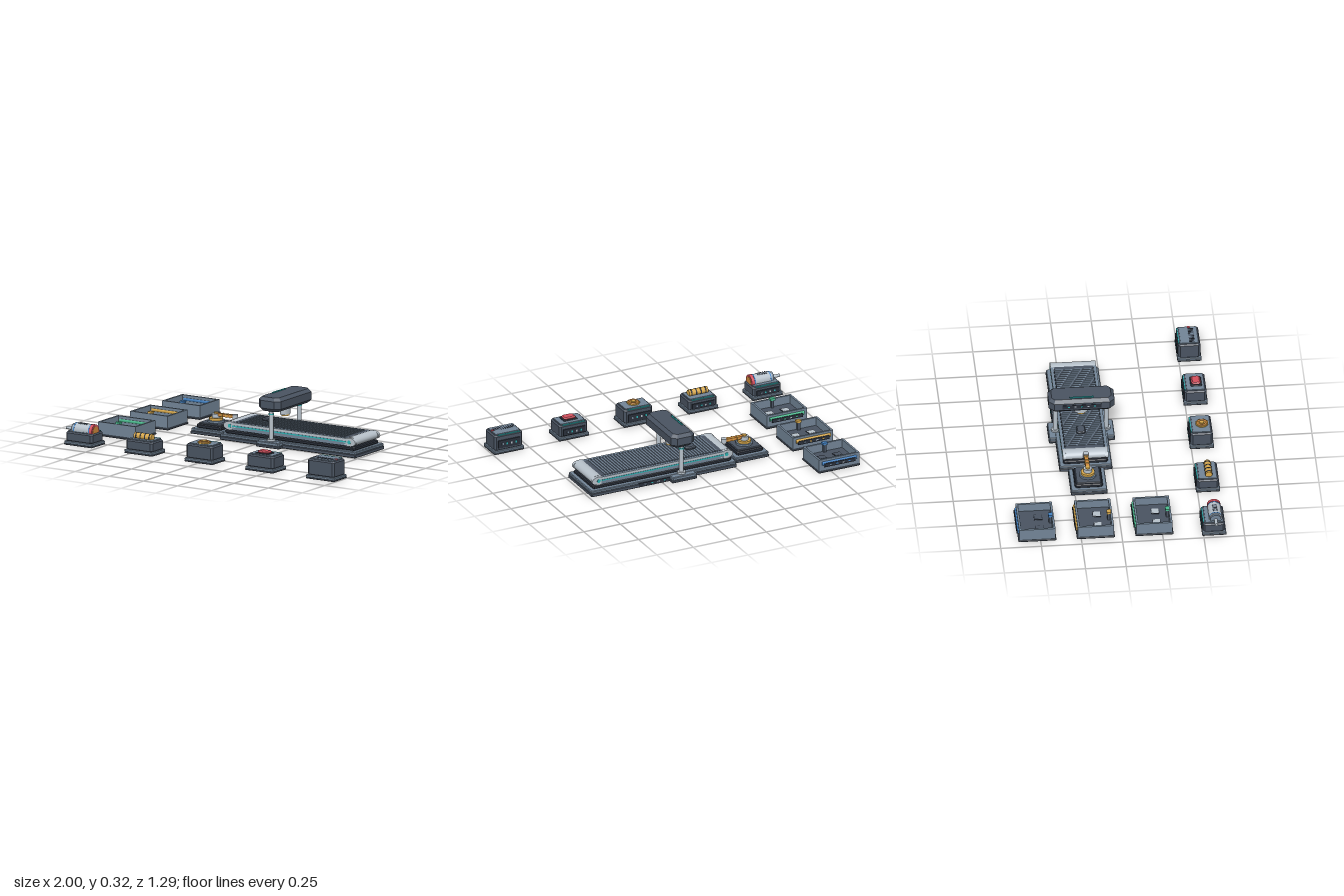
import * as THREE from 'three';

const mat = (name, color) => {
  const m = new THREE.MeshStandardMaterial({ color });
  m.name = name;
  return m;
};

export function createModel() {
  const M = {
    dark: mat('dark base', 0x2a303b),
    char: mat('charcoal', 0x4a5462),
    slate: mat('slate', 0x738597),
    light: mat('light metal', 0xb8c2cb),
    teal: mat('teal', 0x2fb3b5),
    gold: mat('gold', 0xd8a94c),
    orange: mat('orange', 0xd08a3e),
    red: mat('red', 0xd5505e),
    blue: mat('blue', 0x4483c4),
    green: mat('green', 0x4cbd90),
  };
  const root = new THREE.Group();
  root.name = 'sortingLine';

  const group = (name, x, z) => {
    const g = new THREE.Group();
    g.name = name;
    g.position.set(x, 0, z);
    root.add(g);
    return g;
  };
  const add = (g, name, geo, m, x = 0, y = 0, z = 0) => {
    const mesh = new THREE.Mesh(geo, m);
    mesh.name = name;
    mesh.position.set(x, y, z);
    g.add(mesh);
    return mesh;
  };
  // plain box, placed by its centre
  const box = (g, name, m, w, h, d, x, y, z) => add(g, name, new THREE.BoxGeometry(w, h, d), m, x, y, z);
  // box with all edges chamfered by c, standing on y
  const slab = (g, name, m, w, h, d, x, y, z, c = 0.006) => {
    const a = w / 2 - c, b = d / 2 - c, s = new THREE.Shape();
    [[-a + c, -b], [a - c, -b], [a, -b + c], [a, b - c], [a - c, b], [-a + c, b], [-a, b - c], [-a, -b + c]]
      .forEach(([px, py], i) => (i ? s.lineTo(px, py) : s.moveTo(px, py)));
    s.closePath();
    const geo = new THREE.ExtrudeGeometry(s, { depth: h - 2 * c, bevelThickness: c, bevelSize: c, bevelSegments: 1 });
    geo.rotateX(-Math.PI / 2).translate(0, c, 0);
    return add(g, name, geo, m, x, y, z);
  };
  // cylinder along an axis, placed by its centre
  const rod = (g, name, m, r, len, axis, x, y, z, n = 24) => {
    const geo = new THREE.CylinderGeometry(r, r, len, n);
    if (axis === 'x') geo.rotateZ(-Math.PI / 2);
    if (axis === 'z') geo.rotateX(Math.PI / 2);
    return add(g, name, geo, m, x, y, z);
  };
  // dark display with small indicator lights on a rear face
  const backPanel = (g, w, h, x, y, z, accent) => {
    box(g, 'rearPanel', M.dark, w, h, 0.008, x, y, z - 0.003);
    [accent, M.light, accent, M.slate].forEach((m, i) =>
      box(g, 'indicator', m, w * 0.07, h * 0.28, 0.003, x + w * (i - 1.5) * 0.2, y, z - 0.0075));
  };

  // ---- conveyor ----
  const conv = group('conveyor', 0.2375, -0.1625);
  slab(conv, 'conveyorFoot', M.char, 0.995, 0.022, 0.325, 0, 0, 0, 0.003);
  slab(conv, 'conveyorDeck', M.slate, 0.991, 0.018, 0.321, 0, 0.021, 0, 0.004);
  slab(conv, 'conveyorFrame', M.dark, 0.95, 0.024, 0.274, 0, 0.038, 0);
  const endX = 0.437, beltR = 0.026;
  const loop = new THREE.Shape();
  loop.absarc(endX, 0, beltR, -Math.PI / 2, Math.PI / 2);
  loop.absarc(-endX, 0, beltR, Math.PI / 2, Math.PI * 1.5);
  const beltGeo = new THREE.ExtrudeGeometry(loop, { depth: 0.24, bevelEnabled: false, curveSegments: 12 });
  add(conv, 'belt', beltGeo.translate(0, 0, -0.12), M.char, 0, 0.088, 0);
  for (let i = 0; i < 40; i++) {
    box(conv, 'beltSlat', M.slate, 0.009, 0.004, 0.235, -0.38 + i * 0.0195, 0.115, 0);
  }
  for (const s of [-1, 1]) {
    rod(conv, 'endRoller', M.light, 0.029, 0.242, 'z', s * endX, 0.09, 0).scale.x = 1.4;
    box(conv, 'sideRail', M.slate, 0.84, 0.048, 0.018, 0, 0.089, s * 0.131);
    box(conv, 'railFacePlate', M.light, 0.84, 0.014, 0.004, 0, 0.105, s * 0.1395);
    box(conv, 'tealStrip', M.teal, 0.84, 0.008, 0.004, 0, 0.09, s * 0.1395);
    for (const e of [-1, 1]) {
      rod(conv, 'rollerCap', M.light, 0.027, 0.02, 'z', e * endX, 0.09, s * 0.13).scale.x = 1.7;
      rod(conv, 'axle', M.teal, 0.012, 0.024, 'z', e * endX, 0.09, s * 0.13, 16);
    }
  }
  backPanel(conv, 0.22, 0.02, 0.065, 0.02, -0.161, M.teal);
  slab(conv, 'parcelOnBelt', M.char, 0.07, 0.02, 0.055, -0.248, 0.117, -0.01);

  // ---- scanner gantry ----
  const gantry = group('scannerGantry', 0.117, -0.161);
  for (const s of [-1, 1]) {
    slab(gantry, 'gantryFoot', M.char, 0.17, 0.016, 0.085, 0, 0, s * 0.161, 0.003);
    slab(gantry, 'gantryFootPlate', M.slate, 0.166, 0.022, 0.081, 0, 0.015, s * 0.161, 0.004);
    rod(gantry, 'postSocket', M.light, 0.026, 0.014, 'y', 0, 0.042, s * 0.157);
    rod(gantry, 'post', M.light, 0.014, 0.2, 'y', 0, 0.132, s * 0.157);
    rod(gantry, 'postCollar', M.teal, 0.018, 0.008, 'y', 0, 0.205, s * 0.157);
  }
  slab(gantry, 'beam', M.char, 0.16, 0.088, 0.405, 0, 0.226, 0, 0.02);
  box(gantry, 'beamLight', M.teal, 0.008, 0.008, 0.145, -0.047, 0.316, 0);
  box(gantry, 'beamSidePanel', M.dark, 0.004, 0.026, 0.24, -0.08, 0.27, 0);
  for (let i = 0; i < 5; i++) box(gantry, 'beamIndicator', i % 2 ? M.light : M.teal, 0.003, 0.007, 0.014, -0.082, 0.27, -0.08 + i * 0.04);
  rod(gantry, 'scannerHead', M.light, 0.041, 0.05, 'y', 0, 0.203, 0).scale.x = 0.65;
  rod(gantry, 'scannerLens', M.gold, 0.026, 0.01, 'y', 0, 0.174, 0);

  // ---- robot arm ----
  const robot = group('robotArm', -0.39, -0.1625);
  slab(robot, 'robotFoot', M.char, 0.23, 0.018, 0.225, 0, 0, 0, 0.003);
  slab(robot, 'robotDeck', M.slate, 0.226, 0.018, 0.221, 0, 0.017, 0, 0.004);
  slab(robot, 'robotPlinth', M.dark, 0.18, 0.026, 0.172, 0, 0.034, 0, 0.006);
  slab(robot, 'robotTop', M.char, 0.16, 0.01, 0.152, 0, 0.058, 0, 0.004);
  rod(robot, 'turntable', M.slate, 0.052, 0.014, 'y', 0, 0.073, 0);
  rod(robot, 'shoulder', M.gold, 0.042, 0.016, 'y', 0, 0.087, 0);
  rod(robot, 'shoulderCap', M.light, 0.026, 0.025, 'y', 0, 0.107, 0);
  rod(robot, 'shoulderPin', M.gold, 0.014, 0.012, 'y', 0, 0.122, 0);
  box(robot, 'forearm', M.orange, 0.13, 0.018, 0.024, 0.075, 0.115, 0);
  for (let i = 0; i < 3; i++) box(robot, 'forearmRib', M.gold, 0.008, 0.022, 0.028, 0.05 + i * 0.03, 0.115, 0);
  rod(robot, 'wrist', M.light, 0.018, 0.028, 'y', 0.14, 0.115, 0);

  // ---- open sorting bins ----
  [[0.2, M.green, M.light], [-0.16, M.gold, M.light], [-0.52, M.blue, M.char]].forEach(([z, accent, pad]) => {
    const b = group('sortingBin', -0.807, z);
    slab(b, 'binFoot', M.char, 0.286, 0.012, 0.234, 0, 0, 0, 0.003);
    box(b, 'binFloor', M.char, 0.265, 0.024, 0.205, 0, 0.023, 0);
    for (const s of [-1, 1]) {
      box(b, 'binEndWall', M.slate, 0.275, 0.076, 0.013, 0, 0.05, s * 0.105);
      box(b, 'binSideWall', M.slate, 0.013, 0.076, 0.2, s * 0.131, 0.05, 0);
      box(b, 'padEdge', M.dark, 0.052, 0.004, 0.052, s * 0.054, 0.036, 0.02);
      box(b, 'floorPad', pad, 0.044, 0.006, 0.044, s * 0.054, 0.037, 0.02);
    }
    // accent bar above a dark rear display
    rod(b, 'accentBar', accent, 0.013, 0.235, 'x', 0, 0.061, -0.108, 16);
    backPanel(b, 0.21, 0.024, 0, 0.052, -0.118, accent);
    box(b, 'markerPost', M.char, 0.018, 0.06, 0.016, 0, 0.055, 0.09);
    box(b, 'marker', accent, 0.032, 0.014, 0.026, 0, 0.092, 0.091);
  });

  // ---- display pedestals with sample goods ----
  const pedestal = (name, x, h) => {
    const g = group(name, x, 0.565);
    slab(g, 'pedestalFoot', M.char, 0.206, 0.009, 0.148, 0, 0, 0, 0.002);
    slab(g, 'pedestalSkirt', M.slate, 0.206, 0.016, 0.148, 0, 0.008, 0, 0.003);
    slab(g, 'pedestalBody', M.char, 0.194, h - 0.023, 0.136, 0, 0.021, 0, 0.008);
    box(g, 'pedestalTop', M.slate, 0.165, 0.006, 0.105, 0, h, 0);
    box(g, 'tealEdge', M.teal, 0.15, 0.006, 0.007, 0, h - 0.001, -0.064);
    backPanel(g, 0.15, h * 0.4, 0, h * 0.52, -0.068, M.teal);
    return g;
  };

  const motor = pedestal('motorPedestal', -0.878, 0.085);
  rod(motor, 'motorBody', M.light, 0.04, 0.12, 'x', 0.005, 0.094, 0.012, 32);
  rod(motor, 'motorFrontCap', M.slate, 0.034, 0.014, 'x', -0.062, 0.094, 0.012, 32);
  for (const x of [-0.046, 0.062]) rod(motor, 'motorBand', M.blue, 0.041, 0.007, 'x', x, 0.094, 0.012, 32);
  rod(motor, 'motorEndCap', M.red, 0.042, 0.02, 'x', 0.077, 0.095, 0.012, 32);
  rod(motor, 'motorEndDisc', M.orange, 0.03, 0.003, 'x', 0.088, 0.095, 0.012, 32);
  rod(motor, 'motorShaft', M.light, 0.01, 0.06, 'x', -0.092, 0.094, 0.012, 16);
  for (let i = 0; i < 5; i++) box(motor, 'motorVent', M.char, 0.007, 0.004, 0.028, -0.025 + i * 0.014, 0.133, 0.012);

  const coil = pedestal('coilPedestal', -0.437, 0.088);
  rod(coil, 'coilBody', M.gold, 0.021, 0.128, 'x', 0, 0.103, 0.008);
  for (let i = 0; i < 4; i++) rod(coil, 'coilBand', M.dark, 0.022, 0.008, 'x', -0.048 + i * 0.032, 0.103, 0.008);

  const ringStand = pedestal('ringPedestal', 0.003, 0.113);
  rod(ringStand, 'ringMount', M.gold, 0.041, 0.01, 'y', 0, 0.119, 0.008, 8).rotation.y = Math.PI / 8;
  add(ringStand, 'ring', new THREE.TorusGeometry(0.027, 0.006, 10, 32).rotateX(Math.PI / 2), M.orange, 0, 0.125, 0.008);
  rod(ringStand, 'ringCore', M.gold, 0.014, 0.012, 'y', 0, 0.125, 0.008);

  const block = pedestal('blockPedestal', 0.447, 0.102);
  slab(block, 'blockMount', M.dark, 0.096, 0.008, 0.07, 0, 0.102, 0.008, 0.003);
  slab(block, 'redBlock', M.red, 0.08, 0.016, 0.057, 0, 0.107, 0.008, 0.007);

  const control = pedestal('controlPedestal', 0.892, 0.125);
  for (let i = 0; i < 10; i++) box(control, 'ventSlot', M.dark, 0.006, 0.003, 0.034, -0.07 + i * 0.0145, 0.128, 0.018);
  rod(control, 'redLamp', M.red, 0.009, 0.008, 'y', 0.076, 0.128, 0.008, 16);

  return root;
}
